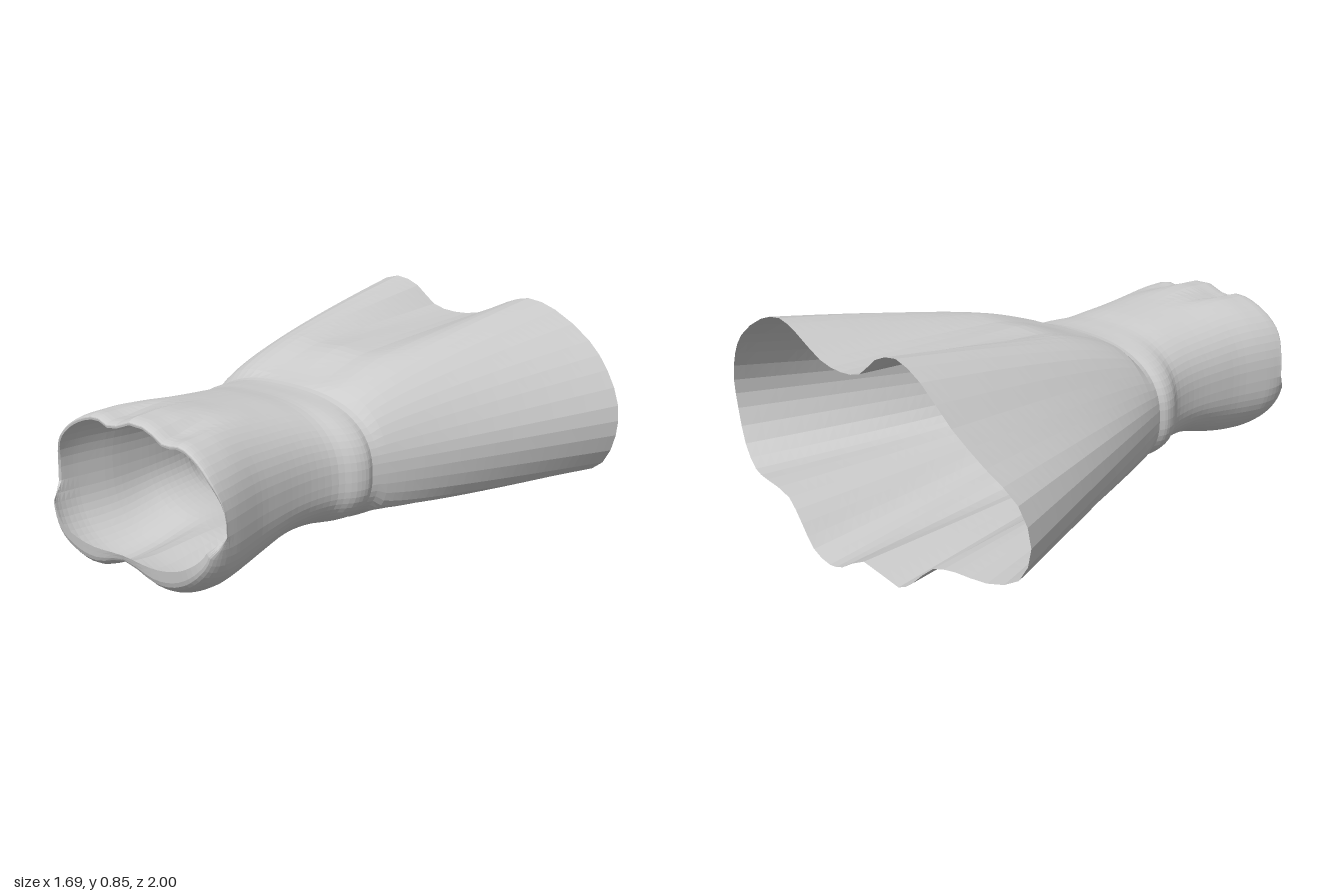
import * as THREE from 'three';

const SEG = 64; // points around each ring
const MID = 0.38; // height of the side line

// Hem outline (x, y), eight points per quarter, starting at the +x side
const HEM = [
  [.845, .36], [.84, .48], [.77, .61], [.67, .71], [.5, .81], [.37, .84], [.27, .81], [.13, .745],
  [.01, .73], [-.1, .75], [-.19, .82], [-.3, .85], [-.42, .8], [-.55, .68], [-.68, .58], [-.8, .49],
  [-.845, .36], [-.8, .24], [-.68, .195], [-.56, .2], [-.48, .19], [-.39, .11], [-.32, .07], [-.13, .095],
  [0, .025], [.08, .005], [.18, .03], [.26, .1], [.36, .165], [.55, .17], [.68, .165], [.79, .23],
];

// Bodice rings: z, half width, top, bottom, centre dip of the bust, amount of rim shaping
const RINGS = [
  [.965, .405, .68, .215, .018, 1],
  [.945, .412, .69, .148, .06, .8],
  [.91, .41, .7, .11, .085, .3],
  [.86, .402, .703, .096, .09, 0],
  [.8, .39, .705, .095, .09, 0],
  [.7, .37, .698, .108, .08, 0],
  [.6, .36, .685, .135, .055, 0],
  [.5, .355, .675, .162, .025, 0],
  [.4, .36, .665, .168, .01, 0],
  [.31, .38, .652, .163, 0, 0],
  [.25, .418, .648, .158, 0, 0],
  [.2, .43, .645, .153, 0, 0],
  [.165, .42, .645, .15, 0, 0],
];

const smooth = THREE.MathUtils.smoothstep;
const lerp = THREE.MathUtils.lerp;
const power = (v, e) => Math.sign(v) * Math.pow(Math.abs(v), e);
const bump = (v, w) => Math.exp(-((v / w) ** 2));

// Rounded-box-like ring point
function ringPoint(i, a, top, bottom) {
  const t = (i / SEG) * Math.PI * 2;
  const s = Math.sin(t);
  const x = a * power(Math.cos(t), .8);
  const y = MID + power(s, .8) * (s > 0 ? top - MID : MID - bottom);
  return { x, y, s };
}

// Bodice point with bust lobes, gathered folds and the uneven neckline
function bodicePoint(i, [z, a, top, bottom, dip, rim]) {
  const p = ringPoint(i, a, top, bottom);
  const low = .7 * smooth(-p.s, 0, .2) + .3 * smooth(-p.s, .15, .7);
  const high = smooth(p.s, .1, .6);
  const x = p.x * (1 - .09 * rim * low);
  const fold = smooth(z, .6, .88) * smooth(p.s, .5, .9);
  const y = p.y + dip * bump(x, .12) * smooth(-p.s, .3, .8)
    - .033 * fold * (bump(x + .09, .05) + bump(x - .16, .055));
  const rimZ = lerp(lerp(.912, .943, high), 1, low);
  return new THREE.Vector3(x, y, lerp(z, rimZ, rim));
}

// How far a skirt point has moved from waist height to hem height
function skirtRise(w, k) {
  if (w.s > 0) {
    // The back centre rises early and then runs flat between the two folds
    const side = lerp(k, Math.pow(k, .6), smooth(w.s, 0, .6));
    return lerp(side, smooth(k, -.03, .3), bump(w.x, .15) * smooth(w.s, .5, .9));
  }
  // The underside wings level out early while the two folds fall straight
  const wing = smooth(-w.s, 0, .3) * (1 - bump(w.x - .09, .15)) * (1 - bump(w.x + .24, .1));
  return lerp(k, Math.pow(k, .42), wing);
}

// Skins a grid of columns; each column runs from front to back
function skin(columns, name, material) {
  const rows = columns[0].length;
  const pos = [], index = [];
  columns.forEach(col => col.forEach(p => pos.push(p.x, p.y, p.z)));
  for (let i = 0; i < SEG; i++) {
    const n = (i + 1) % SEG;
    for (let j = 0; j < rows - 1; j++) {
      const a = i * rows + j, b = n * rows + j;
      index.push(a, a + 1, b, b, a + 1, b + 1);
    }
  }
  const geometry = new THREE.BufferGeometry();
  geometry.setAttribute('position', new THREE.Float32BufferAttribute(pos, 3));
  geometry.setIndex(index);
  geometry.computeVertexNormals();
  const mesh = new THREE.Mesh(geometry, material);
  mesh.name = name;
  return mesh;
}

export function createModel() {
  const group = new THREE.Group();
  group.name = 'dress';
  const cloth = new THREE.MeshStandardMaterial({
    color: 0xcccccc, side: THREE.DoubleSide, flatShading: true,
  });
  const hem = new THREE.CatmullRomCurve3(
    HEM.map(([x, y]) => new THREE.Vector3(x, y, 0)), true);

  const bodice = [], skirt = [];
  for (let i = 0; i < SEG; i++) {
    // Bodice: a smooth line through the rings
    const line = new THREE.CatmullRomCurve3(RINGS.map(r => bodicePoint(i, r)));
    bodice.push(line.getPoints(36));

    // Skirt: from the waist seam out to the wavy hem
    const seam = ringPoint(i, .42, .645, .15);
    const w = ringPoint(i, .43, .648, .15);
    const h = hem.getPoint(i / SEG);
    const hemZ = w.s > 0
      ? lerp(-.88, -.955, smooth(w.s, 0, .8))
      : lerp(-.88, -.998, smooth(-w.s, 0, 1));
    const col = [new THREE.Vector3(seam.x, seam.y, .165)];
    for (let j = 0; j <= 28; j++) {
      const k = j / 28;
      // The rise starts from zero at the seam
      const rise = j === 0 ? 0 : skirtRise(w, k);
      col.push(new THREE.Vector3(
        lerp(w.x, h.x, k), lerp(w.y, h.y, rise), lerp(.14, hemZ, k)));
    }
    skirt.push(col);
  }
  group.add(skin(bodice, 'bodice', cloth), skin(skirt, 'skirt', cloth));
  return group;
}
